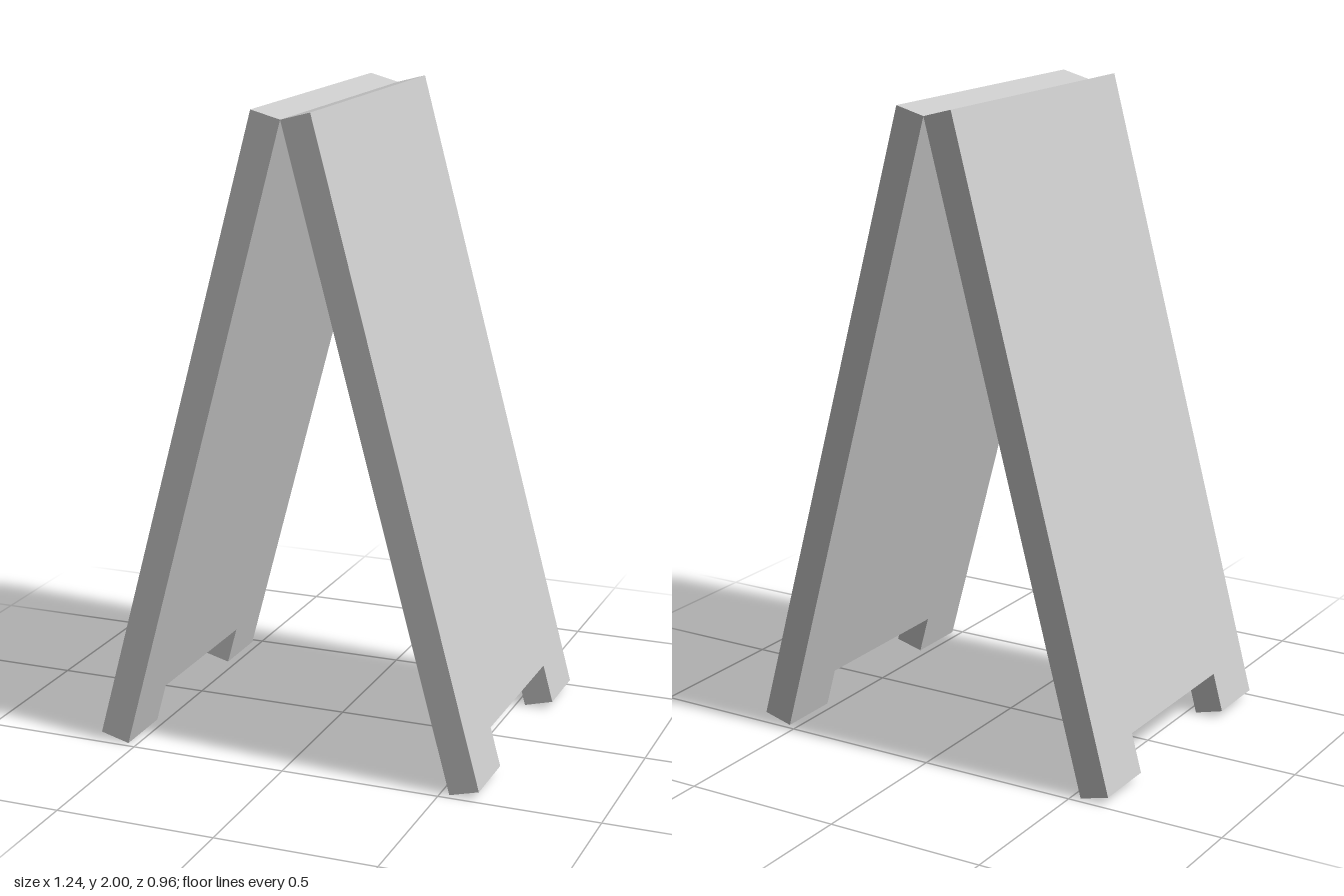
import * as THREE from 'three';

const TILT = THREE.MathUtils.degToRad(15);
const LENGTH = 2.045, THICKNESS = 0.095, HALF_WIDTH = 0.48;
const NOTCH_HALF = 0.275, NOTCH_HEIGHT = 0.125;

// Board outline with a notch at the bottom that leaves two feet
function boardGeometry() {
  const outline = [
    [-HALF_WIDTH, 0], [-NOTCH_HALF, 0], [-NOTCH_HALF, NOTCH_HEIGHT],
    [NOTCH_HALF, NOTCH_HEIGHT], [NOTCH_HALF, 0], [HALF_WIDTH, 0],
    [HALF_WIDTH, LENGTH], [-HALF_WIDTH, LENGTH],
  ].map(([x, y]) => new THREE.Vector2(x, y));
  const geometry = new THREE.ExtrudeGeometry(new THREE.Shape(outline), { depth: THICKNESS, bevelEnabled: false });
  // Face sideways, lean inward, and let the inner top edge meet x = 0
  geometry.rotateY(Math.PI / 2);
  geometry.rotateZ(TILT);
  geometry.translate(LENGTH * Math.sin(TILT), 0, 0);
  return geometry;
}

export function createModel() {
  const group = new THREE.Group();
  group.name = 'sandwichBoard';
  const material = new THREE.MeshStandardMaterial({ color: 0xcccccc, flatShading: true });
  const geometry = boardGeometry();

  // Two identical boards leaning against each other
  for (const [name, turn] of [['leftBoard', 0], ['rightBoard', Math.PI]]) {
    const board = new THREE.Mesh(geometry, material);
    board.name = name;
    board.rotation.y = turn;
    group.add(board);
  }
  return group;
}
